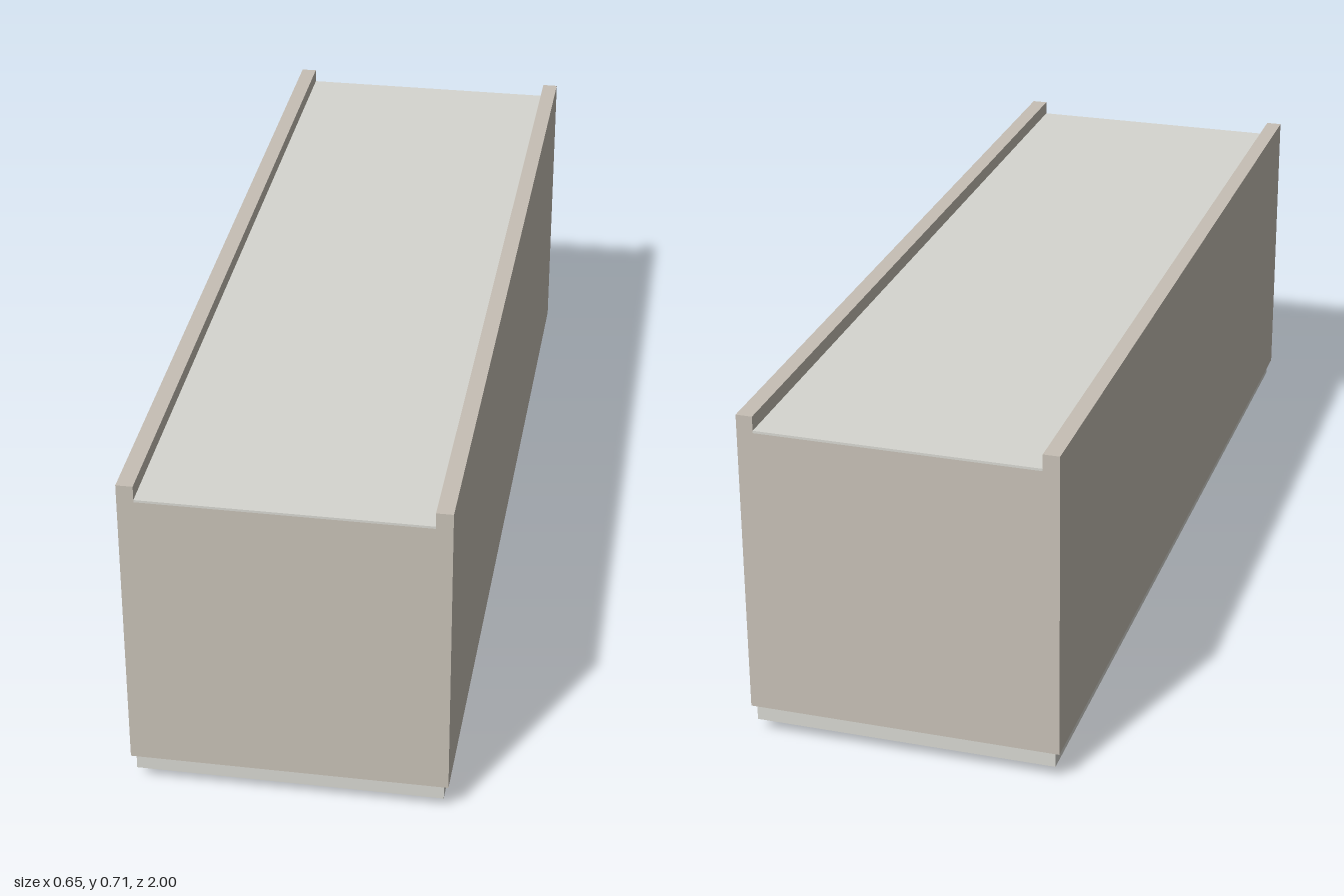
import * as THREE from 'three';

const mat = (color) => new THREE.MeshStandardMaterial({ color });

export function createModel() {
  const group = new THREE.Group();
  const bodyMat = mat(0xc6bfb5), panelMat = mat(0xd6d6d0), handleMat = mat(0x7c7d82);

  const add = (name, geometry, material, x = 0, y = 0, z = 0) => {
    const mesh = new THREE.Mesh(geometry, material);
    mesh.name = name;
    mesh.position.set(x, y, z);
    group.add(mesh);
    return mesh;
  };

  // Cabinet body: one cross-section with raised side rails, run along z
  const w = 0.326, inner = 0.292, bottom = 0.062, deck = 0.68, top = 0.715;
  const section = new THREE.Shape([
    [-w, bottom], [w, bottom], [w, top], [inner, top],
    [inner, deck], [-inner, deck], [-inner, top], [-w, top],
  ].map(([x, y]) => new THREE.Vector2(x, y)));
  add('cabinetBody', new THREE.ExtrudeGeometry(section, { depth: 2, bevelEnabled: false }), bodyMat, 0, 0, -1);

  // Thin panel lying between the rails
  add('topPanel', new THREE.BoxGeometry(2 * inner, 0.005, 2), panelMat, 0, deck + 0.0025, 0);

  // Slightly inset door under the body
  add('door', new THREE.BoxGeometry(0.632, 0.034, 1.986), panelMat, 0, 0.045, 0);

  // Bar handle with rounded ends, hanging from the door near the front
  const r = 0.011, half = 0.105 - r;
  const bar = new THREE.Shape();
  bar.absarc(half, 0, r, -Math.PI / 2, Math.PI / 2, false);
  bar.absarc(-half, 0, r, Math.PI / 2, Math.PI * 1.5, false);
  const handleGeo = new THREE.ExtrudeGeometry(bar, { depth: 0.028, bevelEnabled: false, curveSegments: 8 });
  handleGeo.rotateX(-Math.PI / 2);
  add('handle', handleGeo, handleMat, 0, 0, 0.833);

  return group;
}
